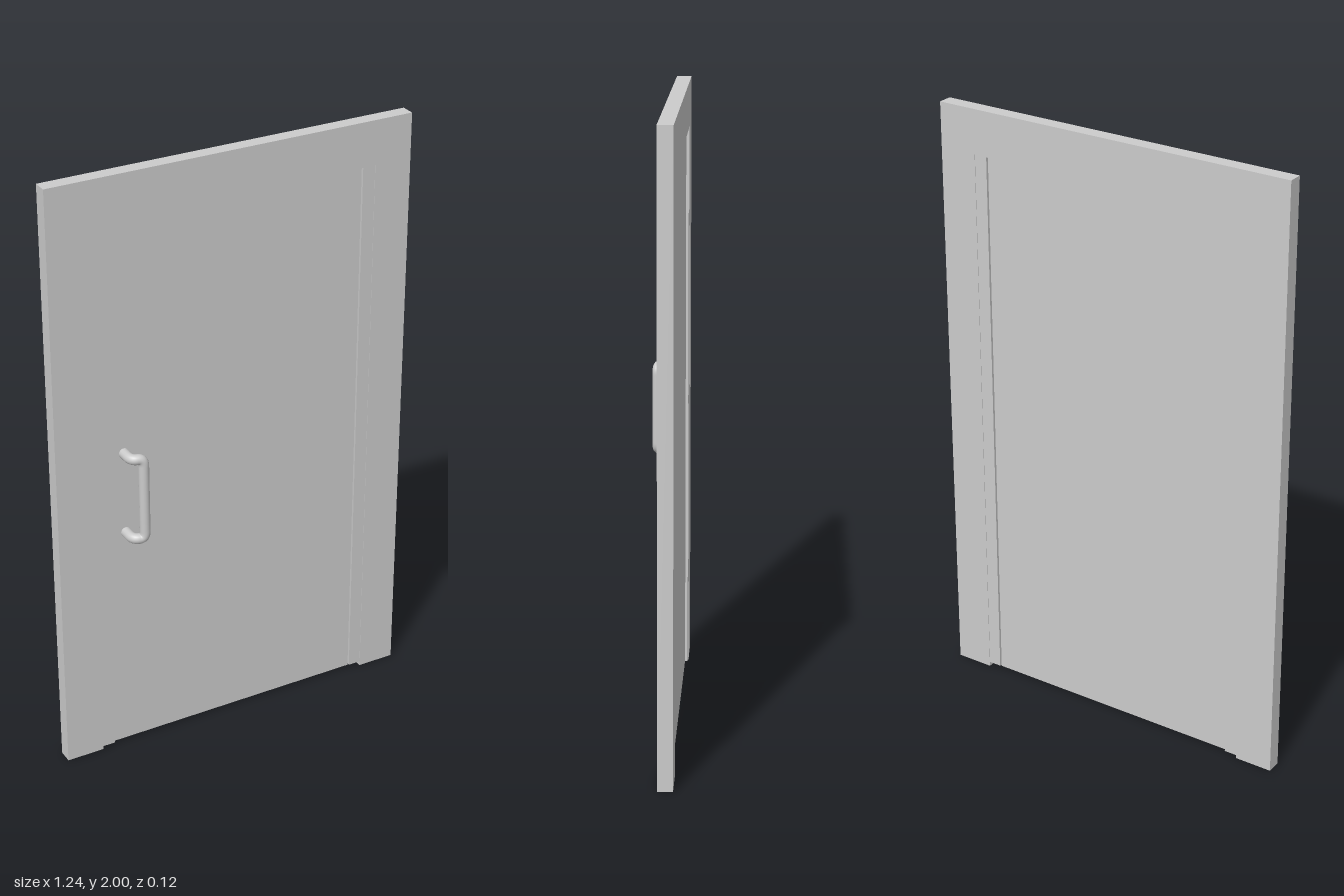
import * as THREE from 'three';

const material = new THREE.MeshStandardMaterial({ color: 0xcccccc });

const BACK = -0.058, FRONT = -0.01, MID = (BACK + FRONT) / 2, DEPTH = FRONT - BACK;

function add(group, name, geometry) {
  const mesh = new THREE.Mesh(geometry, material);
  mesh.name = name;
  group.add(mesh);
  return mesh;
}

// Box given by its x and y limits, centred in the wall thickness
function slab(group, name, x0, x1, y0, y1, depth) {
  add(group, name, new THREE.BoxGeometry(x1 - x0, y1 - y0, depth))
    .position.set((x0 + x1) / 2, (y0 + y1) / 2, MID);
}

// Path through the points with every inner corner rounded
function roundedPath(points, radius) {
  const path = new THREE.CurvePath();
  let from = points[0];
  for (let i = 1; i < points.length - 1; i++) {
    const p = points[i];
    const toward = (q) => p.clone().add(
      q.clone().sub(p).setLength(Math.min(radius, q.distanceTo(p) * 0.48)));
    const a = toward(points[i - 1]), b = toward(points[i + 1]);
    path.add(new THREE.LineCurve3(from, a));
    path.add(new THREE.QuadraticBezierCurve3(a, p, b));
    from = b;
  }
  path.add(new THREE.LineCurve3(from, points[points.length - 1]));
  return path;
}

export function createModel() {
  const door = new THREE.Group();
  door.name = 'door';

  // Surround: one U-shaped slab open at the floor
  const outline = [
    [-0.62, 0], [-0.493, 0], [-0.493, 1.853], [0.493, 1.853],
    [0.493, 0], [0.62, 0], [0.62, 2], [-0.62, 2],
  ].map(([x, y]) => new THREE.Vector2(x, y));
  const surround = new THREE.ExtrudeGeometry(new THREE.Shape(outline), { depth: DEPTH, bevelEnabled: false });
  surround.translate(0, 0, BACK);
  add(door, 'surround', surround);

  // Jamb strips, a hair behind the surround faces
  slab(door, 'rightJamb', -0.493, -0.45, 0.01, 1.853, DEPTH - 0.003);
  slab(door, 'leftJamb', 0.45, 0.493, 0.015, 1.853, DEPTH - 0.003);

  // Door leaf, slightly recessed on both faces
  slab(door, 'leaf', -0.45, 0.45, 0.01, 1.853, DEPTH - 0.02);

  // Pull handle: two posts that bend sideways into an upright grip
  const top = 1.077, bottom = 0.795;
  const points = [
    [-0.385, top, -0.03], [-0.385, top, 0.032], [-0.348, top, 0.041],
    [-0.348, bottom, 0.041], [-0.385, bottom, 0.032], [-0.385, bottom, -0.03],
  ].map((p) => new THREE.Vector3(...p));
  add(door, 'pullHandle', new THREE.TubeGeometry(roundedPath(points, 0.025), 120, 0.017, 16));

  return door;
}
